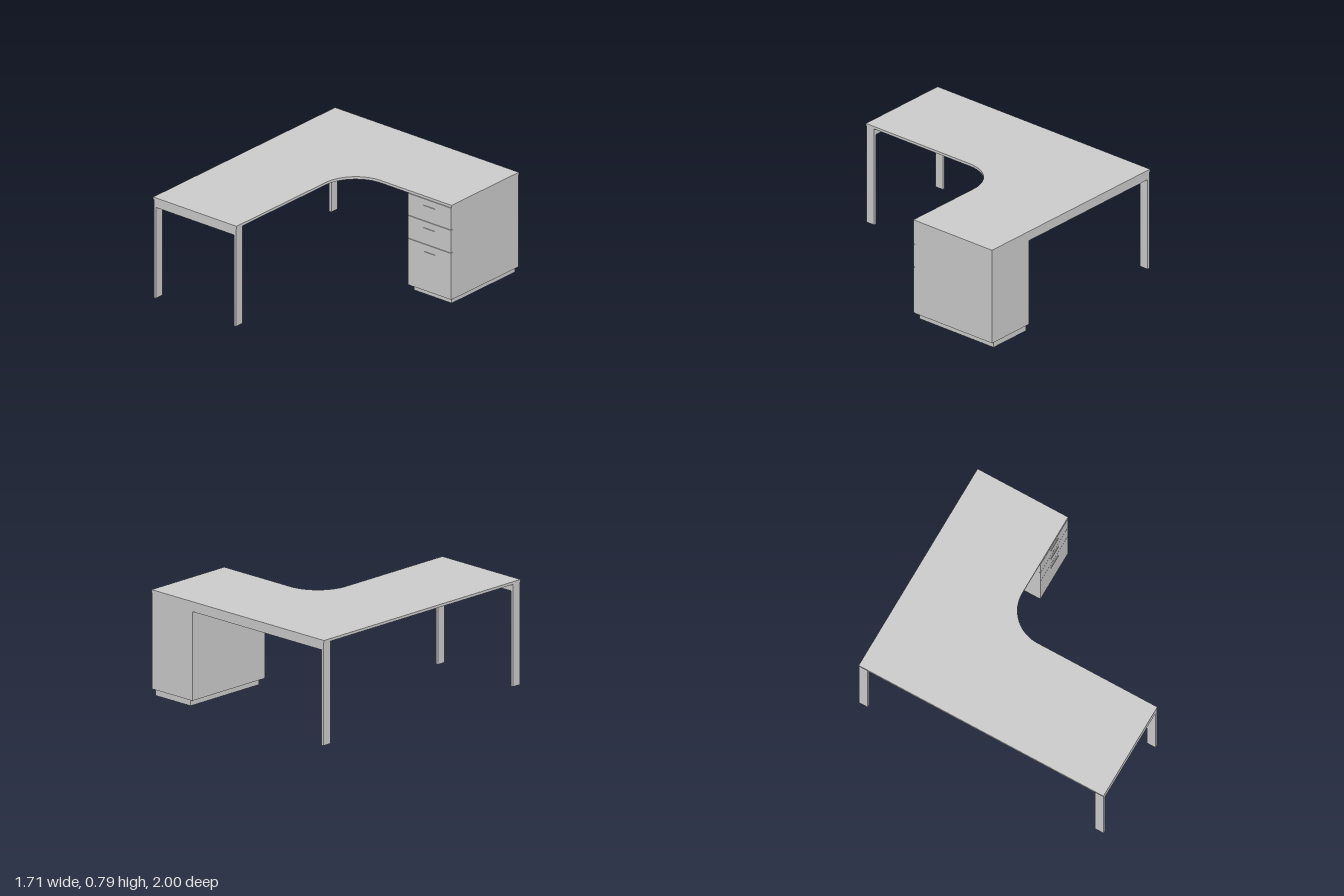
import * as THREE from 'three';

const grey = new THREE.MeshStandardMaterial({ color: 0xcccccc });

// Box given by its minimum and maximum corners
function box(name, [x0, y0, z0], [x1, y1, z1]) {
  const mesh = new THREE.Mesh(new THREE.BoxGeometry(x1 - x0, y1 - y0, z1 - z0), grey);
  mesh.position.set((x0 + x1) / 2, (y0 + y1) / 2, (z0 + z1) / 2);
  mesh.name = name;
  return mesh;
}

// L-shaped top with a rounded inner corner; shape y becomes z
function createDesktop() {
  const r = 0.28;
  const shape = new THREE.Shape();
  shape.moveTo(-0.855, -1);
  shape.lineTo(0.855, -1);
  shape.lineTo(0.855, -0.26);
  shape.lineTo(-0.08 + r, -0.26);
  shape.absarc(-0.08 + r, -0.26 + r, r, -Math.PI / 2, -Math.PI, true);
  shape.lineTo(-0.08, 1);
  shape.lineTo(-0.855, 1);
  shape.closePath();
  const geometry = new THREE.ExtrudeGeometry(shape, { depth: 0.02, bevelEnabled: false, curveSegments: 24 });
  geometry.rotateX(Math.PI / 2);
  const mesh = new THREE.Mesh(geometry, grey);
  mesh.position.y = 0.785;
  mesh.name = 'desktop';
  return mesh;
}

// Drawer unit on a recessed plinth
function createPedestal() {
  const group = new THREE.Group();
  group.name = 'pedestal';
  group.add(
    box('cabinetBody', [0.452, 0.045, -0.998], [0.852, 0.765, -0.274]),
    box('plinth', [0.477, 0, -0.97], [0.827, 0.045, -0.295]),
    box('plinthBack', [0.477, 0, -0.99], [0.827, 0.045, -0.97])
  );
  // Bottom, top and handle height of each drawer
  const drawers = [[0.047, 0.408, 0.345], [0.412, 0.588, 0.53], [0.592, 0.762, 0.705]];
  for (const [bottom, top, grip] of drawers) {
    group.add(
      box('drawerFront', [0.453, bottom, -0.274], [0.851, top, -0.258]),
      box('drawerHandle', [0.6, grip - 0.007, -0.258], [0.705, grip + 0.007, -0.253])
    );
  }
  return group;
}

export function createModel() {
  const model = new THREE.Group();
  model.name = 'cornerDesk';
  model.add(createDesktop(), createPedestal());

  // Flat legs: x and z of the minimum corner
  for (const [x, z] of [[-0.85, 0.929], [-0.105, 0.929], [-0.85, -0.999]]) {
    model.add(box('leg', [x, 0, z], [x + 0.02, 0.765, z + 0.07]));
  }

  // Rails joining the legs under the top
  model.add(
    box('frontRail', [-0.83, 0.71, 0.929], [-0.105, 0.765, 0.999]),
    box('backRail', [-0.83, 0.71, -0.999], [0.452, 0.765, -0.929])
  );
  return model;
}
